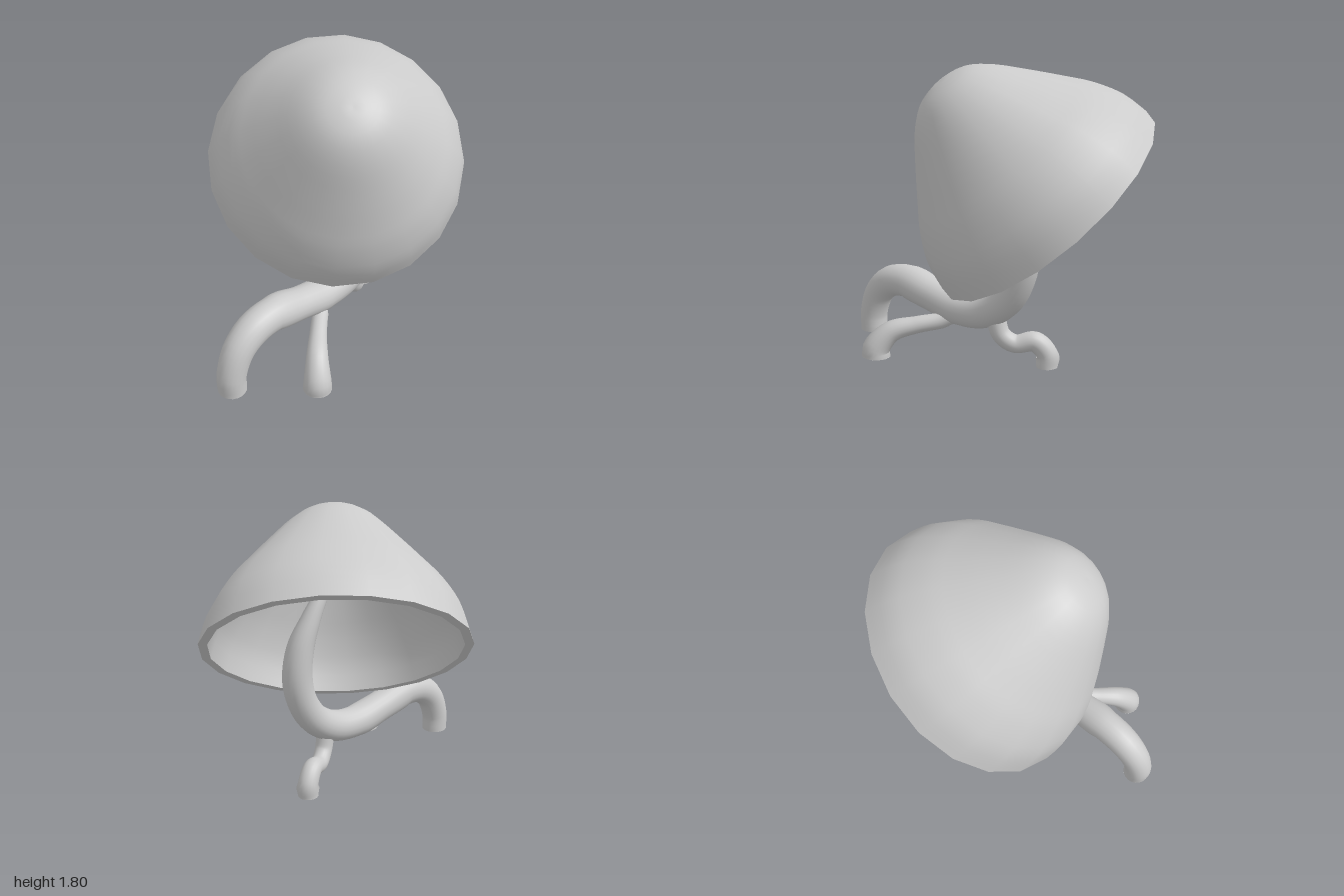
import * as THREE from 'three';

const material = new THREE.MeshStandardMaterial({ color: 0xcccccc, side: THREE.DoubleSide });

// Tapered branch: each point is [x, y, z, radius]; the first point is the foot.
function branch(name, points, segments) {
  const group = new THREE.Group();
  group.name = name;
  const path = new THREE.CatmullRomCurve3(points.map(([x, y, z]) => new THREE.Vector3(x, y, z)));
  const radii = new THREE.CatmullRomCurve3(points.map((p) => new THREE.Vector3(p[3], 0, 0)));
  const sides = 20;
  const tube = new THREE.TubeGeometry(path, segments, 1, sides);
  const { position, normal } = tube.attributes;
  for (let i = 0; i < position.count; i++) {
    const u = Math.floor(i / (sides + 1)) / segments;
    const r = radii.getPoint(path.getUtoTmapping(u)).x;
    const p = path.getPointAt(u);
    position.setXYZ(i, p.x + normal.getX(i) * r, p.y + normal.getY(i) * r, p.z + normal.getZ(i) * r);
  }
  group.add(new THREE.Mesh(tube, material));

  // flat discs closing both ends
  for (const u of [0, 1]) {
    const cap = new THREE.Mesh(new THREE.CircleGeometry(points[u ? points.length - 1 : 0][3], sides), material);
    cap.position.copy(path.getPointAt(u));
    const facing = path.getTangentAt(u).multiplyScalar(u ? 1 : -1);
    cap.quaternion.setFromUnitVectors(new THREE.Vector3(0, 0, 1), facing);
    group.add(cap);
  }
  return group;
}

// Tilted bell shade: outer wall, inner wall and flat rim, turned about its own axis.
function createShade() {
  const shade = new THREE.Group();
  shade.name = 'shade';
  const sides = 20;
  const profile = (pts) => new THREE.SplineCurve(pts.map(([r, y]) => new THREE.Vector2(r, y))).getPoints(24);
  const outer = profile([
    [0.814, 0], [0.77, 0.18], [0.677, 0.354], [0.57, 0.495], [0.438, 0.66], [0.3, 0.822],
    [0.185, 0.912], [0.07, 0.947], [0, 0.95],
  ]);
  const inner = profile([
    [0, 0.902], [0.06, 0.9], [0.155, 0.865], [0.262, 0.78], [0.4, 0.622], [0.53, 0.46],
    [0.63, 0.325], [0.718, 0.165], [0.761, 0],
  ]);
  const rim = [new THREE.Vector2(0.761, 0), new THREE.Vector2(0.814, 0)];
  for (const [name, pts] of Object.entries({ shadeOuter: outer, shadeInner: inner, shadeRim: rim })) {
    const wall = new THREE.Mesh(new THREE.LatheGeometry(pts, sides, Math.PI / sides), material);
    wall.name = name;
    shade.add(wall);
  }
  shade.position.set(0.26, 0.983, -0.032);
  shade.quaternion.setFromUnitVectors(
    new THREE.Vector3(0, 1, 0), new THREE.Vector3(-0.41, 0.752, 0.515).normalize());
  return shade;
}

export function createModel() {
  const model = new THREE.Group();
  model.name = 'lamp';
  model.add(createShade());

  // main stem: back leg, sagging trunk, then up into the shade with a flared holder
  model.add(branch('stem', [
    [-0.91, 0.01, 0.27, 0.088], [-0.908, 0.13, 0.27, 0.09], [-0.845, 0.285, 0.27, 0.095],
    [-0.73, 0.375, 0.27, 0.102], [-0.58, 0.397, 0.27, 0.105], [-0.36, 0.345, 0.27, 0.105],
    [-0.13, 0.302, 0.27, 0.105], [0.05, 0.325, 0.27, 0.104], [0.2, 0.415, 0.27, 0.1],
    [0.295, 0.555, 0.27, 0.097], [0.335, 0.73, 0.27, 0.096], [0.305, 0.93, 0.27, 0.087],
    [0.215, 1.11, 0.27, 0.062], [0.11, 1.27, 0.28, 0.045], [0.0, 1.45, 0.33, 0.052],
    [-0.06, 1.57, 0.37, 0.095], [-0.1, 1.645, 0.41, 0.1],
  ], 72));

  // front leg
  model.add(branch('frontLeg', [
    [-0.54, 0.01, 0.62, 0.088], [-0.538, 0.06, 0.618, 0.085], [-0.475, 0.158, 0.55, 0.068],
    [-0.36, 0.197, 0.44, 0.054], [-0.23, 0.225, 0.33, 0.05], [-0.13, 0.27, 0.27, 0.05],
  ], 28));

  // side leg
  model.add(branch('sideLeg', [
    [0.395, 0, 0.11, 0.065], [0.393, 0.08, 0.11, 0.065], [0.33, 0.153, 0.145, 0.062],
    [0.225, 0.135, 0.205, 0.056], [0.155, 0.19, 0.25, 0.057], [0.122, 0.31, 0.265, 0.06],
  ], 32));

  return model;
}
